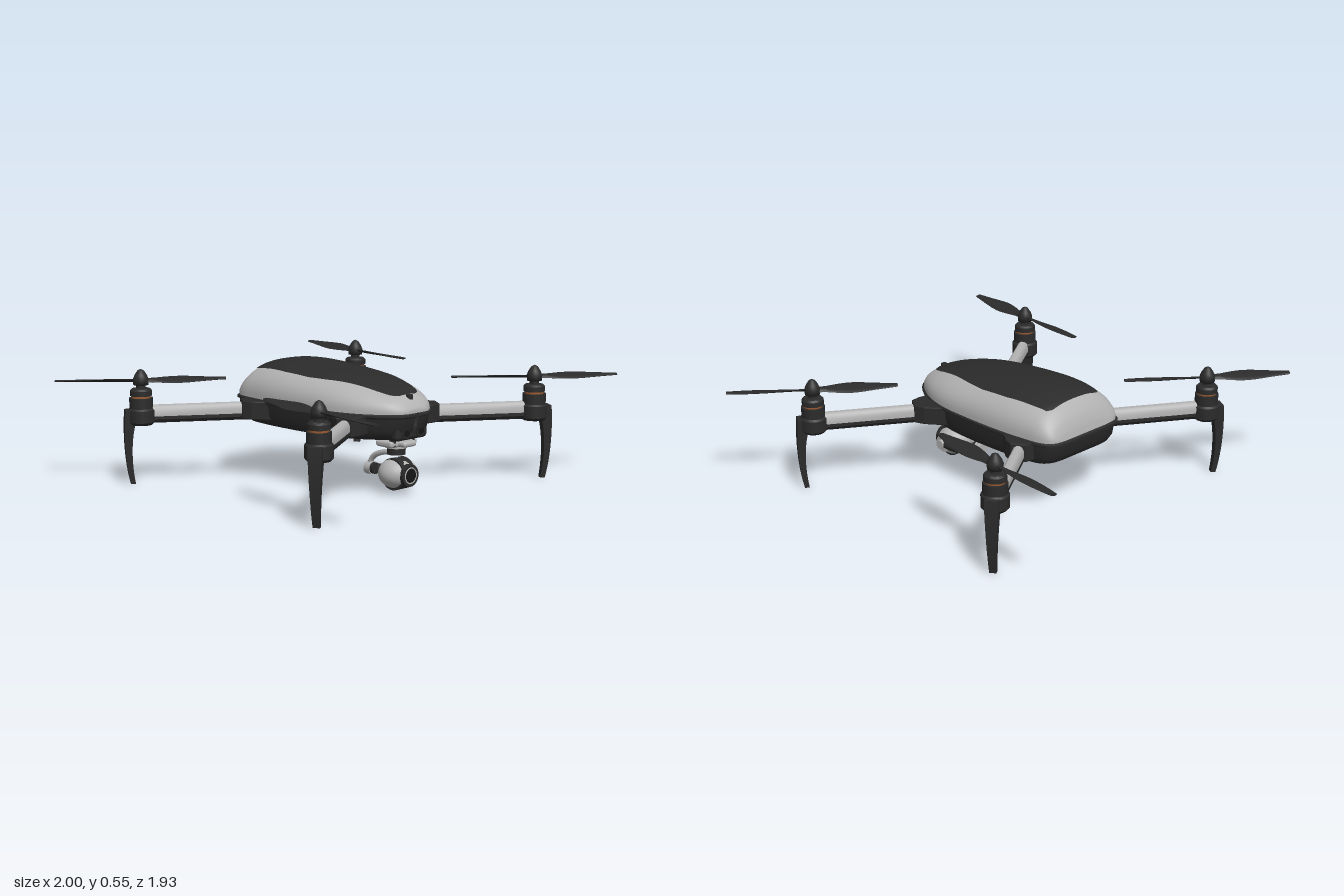
import * as THREE from 'three';
import { toCreasedNormals } from 'three/addons/utils/BufferGeometryUtils.js';
import { RoundedBoxGeometry } from 'three/addons/geometries/RoundedBoxGeometry.js';

const V = (x, y, z) => new THREE.Vector3(x, y, z);
const mat = (name, color) => {
  const m = new THREE.MeshStandardMaterial({ color });
  m.name = name;
  return m;
};
const black = mat('matte black', 0x2b2b2b);
const grey = mat('light grey', 0xb2b2b2);
const dark = mat('dark glass', 0x161616);
const copper = mat('copper', 0x9a5a30);

function add(parent, name, geo, material, x = 0, y = 0, z = 0) {
  const m = new THREE.Mesh(geo, material);
  m.name = name;
  m.position.set(x, y, z);
  parent.add(m);
  return m;
}

// Surface over a (u, v) grid
function grid(nu, nv, fn) {
  const pos = [], idx = [];
  for (let i = 0; i <= nu; i++) for (let j = 0; j <= nv; j++) pos.push(...fn(i / nu, j / nv));
  for (let i = 0; i < nu; i++) for (let j = 0; j < nv; j++) {
    const a = i * (nv + 1) + j, b = a + nv + 1;
    idx.push(a, b, a + 1, b, b + 1, a + 1);
  }
  const g = new THREE.BufferGeometry();
  g.setAttribute('position', new THREE.Float32BufferAttribute(pos, 3));
  g.setIndex(idx);
  g.computeVertexNormals();
  return g;
}

// Linear lookup in a list of [key, value], keys ascending
function lookup(list, k) {
  let i = 1;
  while (i < list.length - 1 && list[i][0] < k) i++;
  const [a, b] = [list[i - 1], list[i]];
  return THREE.MathUtils.lerp(a[1], b[1], THREE.MathUtils.clamp((k - a[0]) / (b[0] - a[0]), 0, 1));
}

// Body profile from nose to tail: half width, top height, z
const BASE = 0.375, N = 2.4;
const profile = new THREE.CatmullRomCurve3([
  [0.01, 0.377, 0.492], [0.07, 0.4, 0.486], [0.125, 0.437, 0.45], [0.165, 0.46, 0.4], [0.21, 0.483, 0.32],
  [0.245, 0.507, 0.2], [0.26, 0.529, 0], [0.26, 0.54, -0.2], [0.25, 0.532, -0.32], [0.24, 0.513, -0.39],
  [0.222, 0.47, -0.435], [0.195, 0.425, -0.458], [0.15, 0.388, -0.468], [0.01, 0.376, -0.47],
].map(p => V(...p)), false, 'centripetal');
const samples = profile.getPoints(260).reverse();
const widths = samples.map(p => [p.z, p.x]), heights = samples.map(p => [p.z, p.y]);
function topY(x, z) {
  const r = Math.min(1, Math.abs(x) / lookup(widths, z));
  return BASE + (lookup(heights, z) - BASE) * Math.pow(1 - Math.pow(r, N), 1 / N);
}

function buildBody() {
  const body = new THREE.Group();
  body.name = 'body';
  // Upper shell
  add(body, 'upperShell', grid(78, 36, (u, v) => {
    const p = profile.getPoint(u), c = Math.cos(v * Math.PI), s = Math.max(0, Math.sin(v * Math.PI));
    return [p.x * Math.sign(c) * Math.pow(Math.abs(c), 2 / N), BASE + (p.y - BASE) * Math.pow(s, 2 / N), p.z];
  }), grey);
  // Black panel lying on the shell
  const panelWidth = [[-0.392, 0.14], [-0.38, 0.165], [-0.3, 0.178], [-0.15, 0.19], [0, 0.188], [0.1, 0.172],
    [0.21, 0.145], [0.35, 0.112], [0.4, 0.092], [0.42, 0.075], [0.432, 0.045]];
  add(body, 'topPanel', grid(60, 20, (u, v) => {
    const z = 0.432 - 0.824 * u, x = lookup(panelWidth, z) * (1 - 2 * v);
    return [x, topY(x, z) + 0.005, z];
  }), black);
  add(body, 'powerButton', new THREE.CylinderGeometry(0.016, 0.016, 0.02, 16), black, 0, topY(0, 0.443), 0.443);
  // Lower hull, as shrinking copies of the body outline
  const layers = [[1, 0.376], [1.02, 0.371], [1.02, 0.362], [0.99, 0.355], [0.97, 0.3], [0.93, 0.27], [0.87, 0.256],
    [0.8, 0.252], [0, 0.252]];
  add(body, 'lowerHull', toCreasedNormals(grid(120, layers.length - 1, (u, v) => {
    const p = profile.getPoint(u < 0.5 ? 2 * u : 2 - 2 * u);
    const [s, y] = layers[Math.round(v * (layers.length - 1))];
    return [p.x * s * (u < 0.5 ? -1 : 1), y, p.z * s];
  }), 0.6), black);
  // Battery hatch underneath
  add(body, 'batteryHatch', new RoundedBoxGeometry(0.26, 0.012, 0.46, 2, 0.005), black, 0, 0.25, -0.1);
  for (const s of [-1, 1]) add(body, 'hatchGroove', new THREE.BoxGeometry(0.006, 0.004, 0.42), dark, s * 0.1, 0.2435, -0.1);
  for (const z of [-0.3, 0.02, 0.1]) add(body, 'hatchGroove', new THREE.BoxGeometry(0.2, 0.004, 0.006), dark, 0, 0.2435, z);
  // Forward sensors
  add(body, 'sensorPanel', new RoundedBoxGeometry(0.2, 0.07, 0.08, 3, 0.02), black, 0, 0.287, 0.425);
  for (const s of [-1, 1]) {
    const ring = add(body, 'sensorRing', new THREE.CylinderGeometry(0.025, 0.025, 0.02, 20), black, s * 0.045, 0.288, 0.462);
    const eye = add(body, 'sensorEye', new THREE.CylinderGeometry(0.017, 0.017, 0.006, 20), dark, s * 0.045, 0.288, 0.472);
    ring.rotation.x = eye.rotation.x = Math.PI / 2;
  }
  return body;
}

// Prism along local x from a (z, y) cross-section
function prism(points, length) {
  const g = new THREE.ExtrudeGeometry(new THREE.Shape(points.map(p => new THREE.Vector2(...p))),
    { depth: length, bevelEnabled: false });
  return g.rotateY(Math.PI / 2);
}

// Arm, motor pod and leg; local x runs from the body outwards
function buildArm(reach) {
  const arm = new THREE.Group();
  arm.name = 'arm';
  const root = new THREE.Shape([[-0.1, -0.1], [0, -0.06], [0.035, -0.032], [0.035, 0.032], [0, 0.06], [-0.1, 0.1]]
    .map(p => new THREE.Vector2(...p)));
  const rootGeo = new THREE.ExtrudeGeometry(root, { depth: 0.075, bevelSize: 0.005, bevelThickness: 0.005, bevelSegments: 2 });
  add(arm, 'armRoot', rootGeo.rotateX(-Math.PI / 2), black, 0, 0.29, 0);
  add(arm, 'armTop', toCreasedNormals(prism([[-0.027, 0.308], [0.027, 0.308], [0.027, 0.335], [0.019, 0.352],
    [0.008, 0.36], [-0.008, 0.36], [-0.019, 0.352], [-0.027, 0.335]], reach), 0.8), grey);
  add(arm, 'armUnderside', prism([[-0.017, 0.28], [0.017, 0.28], [0.028, 0.295], [0.028, 0.31], [-0.028, 0.31],
    [-0.028, 0.295]], reach), black);

  // Motor pod with windings
  const lathe = pts => toCreasedNormals(new THREE.LatheGeometry(pts.map(p => new THREE.Vector2(...p)), 28), 0.6);
  add(arm, 'motorPod', lathe([[0, 0.272], [0.05, 0.272], [0.062, 0.285], [0.062, 0.34], [0.054, 0.348],
    [0.054, 0.395], [0, 0.395]]), black, reach);
  add(arm, 'windings', new THREE.CylinderGeometry(0.043, 0.043, 0.014, 28), copper, reach, 0.401);
  add(arm, 'motorBell', lathe([[0, 0.405], [0.05, 0.405], [0.05, 0.428], [0.042, 0.437], [0.022, 0.44], [0.022, 0.46],
    [0, 0.46]]), black, reach);

  // Curved landing leg, narrowing downwards
  const leg = new THREE.Shape();
  leg.moveTo(0.03, 0.345);
  leg.lineTo(0.075, 0.34);
  leg.bezierCurveTo(0.084, 0.24, 0.08, 0.1, 0.054, 0);
  leg.lineTo(0.032, 0);
  leg.bezierCurveTo(0.05, 0.1, 0.05, 0.2, 0.03, 0.28);
  leg.closePath();
  const g = new THREE.ExtrudeGeometry(leg, { depth: 1, bevelEnabled: false, curveSegments: 12 });
  const p = g.attributes.position;
  for (let i = 0; i < p.count; i++) p.setZ(i, (p.getZ(i) - 0.5) * (0.03 + 0.1 * Math.min(0.3, p.getY(i))));
  add(arm, 'landingLeg', toCreasedNormals(g, 0.6), black, reach);
  return arm;
}

// Two-bladed propeller, blades along local x
function buildPropeller(spin) {
  const prop = new THREE.Group();
  prop.name = 'propeller';
  const chord = [[0, 0.018], [0.12, 0.02], [0.28, 0.033], [0.42, 0.041], [0.55, 0.04], [0.72, 0.032], [0.9, 0.022], [1, 0.015]];
  const blade = new THREE.CylinderGeometry(1, 1, 1, 12, 18).rotateZ(-Math.PI / 2);
  const p = blade.attributes.position;
  for (let i = 0; i < p.count; i++) {
    const t = p.getX(i) + 0.5, twist = spin * (0.34 * (1 - t) + 0.06);
    const z = p.getZ(i) * lookup(chord, t), y = p.getY(i) * 0.005;
    p.setXYZ(i, 0.015 + 0.37 * t, y * Math.cos(twist) - z * Math.sin(twist) + 0.004 * t,
      z * Math.cos(twist) + y * Math.sin(twist));
  }
  const bladeGeo = toCreasedNormals(blade, 0.9);
  for (const turn of [0, Math.PI]) add(prop, 'blade', bladeGeo, black).rotation.y = turn;
  add(prop, 'hub', new THREE.LatheGeometry([[0, -0.02], [0.034, -0.02], [0.036, 0.005], [0.028, 0.025], [0.015, 0.045],
    [0, 0.053]].map(q => new THREE.Vector2(...q)), 24), black);
  return prop;
}

// Camera hanging below the nose
function buildGimbal() {
  const g = new THREE.Group();
  g.name = 'gimbalCamera';
  const H = Math.PI / 2, Z = 0.37, Y = 0.09;
  const cyl = (name, r, h, m, x, y, z, axis) => {
    const c = add(g, name, new THREE.CylinderGeometry(r, r, h, 28), m, x, y, z);
    if (axis) c.rotation[axis] = H;
    return c;
  };
  add(g, 'mountPlate', new RoundedBoxGeometry(0.17, 0.03, 0.1, 3, 0.012), grey, 0, 0.23, 0.365);
  add(g, 'mountCross', new RoundedBoxGeometry(0.08, 0.026, 0.18, 3, 0.012), grey, 0, 0.23, 0.365);
  for (const x of [-0.06, 0.06]) for (const z of [0.33, 0.4]) cyl('damper', 0.015, 0.05, black, x, 0.245, z);
  cyl('yawCollar', 0.05, 0.014, grey, 0, 0.212, Z - 0.005);
  cyl('yawMotor', 0.042, 0.035, black, 0, 0.192, Z - 0.005);
  const tube = (name, pts, r, m) =>
    add(g, name, new THREE.TubeGeometry(new THREE.CatmullRomCurve3(pts.map(q => V(...q))), 24, r, 10), m);
  tube('rollArm', [[0, 0.18, 0.36], [0, 0.173, 0.29], [0, 0.15, 0.23], [0, 0.125, 0.208], [0, 0.09, 0.205]], 0.013, grey);
  cyl('rollMotor', 0.03, 0.035, grey, 0, Y, 0.205, 'x');
  cyl('rollCap', 0.026, 0.02, black, 0, Y, 0.23, 'x');
  tube('pitchArm', [[0, Y, 0.235], [0.05, Y, 0.238], [0.082, Y, 0.265], [0.087, Y, 0.31], [0.084, Y, Z]], 0.017, black);
  cyl('pitchDisc', 0.042, 0.022, grey, 0.074, Y, Z, 'z');
  cyl('pitchCap', 0.022, 0.012, grey, 0.1, Y, Z, 'z');
  add(g, 'cameraBall', new THREE.SphereGeometry(1, 32, 20), grey, 0, Y, Z).scale.set(0.088, 0.07, 0.082);
  cyl('cameraBand', 0.072, 0.075, black, 0, Y - 0.002, Z + 0.006, 'z');
  cyl('lensBarrel', 0.05, 0.085, black, 0, Y - 0.002, Z + 0.042, 'x');
  add(g, 'lensRing', new THREE.TorusGeometry(0.035, 0.003, 8, 32), grey, 0, Y - 0.002, Z + 0.0845);
  cyl('lensGlass', 0.031, 0.006, dark, 0, Y - 0.002, Z + 0.084, 'x');
  return g;
}

export function createModel() {
  const model = new THREE.Group();
  model.name = 'quadcopter';
  model.add(buildBody(), buildGimbal());
  const rootX = 0.265, rootZ = 0.315, motorX = 0.685, motorZ = 0.583;
  const reach = Math.hypot(motorX - rootX, motorZ - rootZ);
  for (const sx of [-1, 1]) for (const sz of [-1, 1]) {
    const arm = buildArm(reach);
    arm.position.set(sx * rootX, 0, sz * rootZ);
    arm.rotation.y = -Math.atan2(sz * (motorZ - rootZ), sx * (motorX - rootX));
    const same = sx === sz;
    const prop = buildPropeller(same ? 1 : -1);
    prop.position.set(sx * motorX, 0.474, sz * motorZ);
    prop.rotation.y = same ? -Math.atan2(0.235, 0.3025) : -Math.atan2(-0.377, 0.05);
    model.add(arm, prop);
  }
  return model;
}
